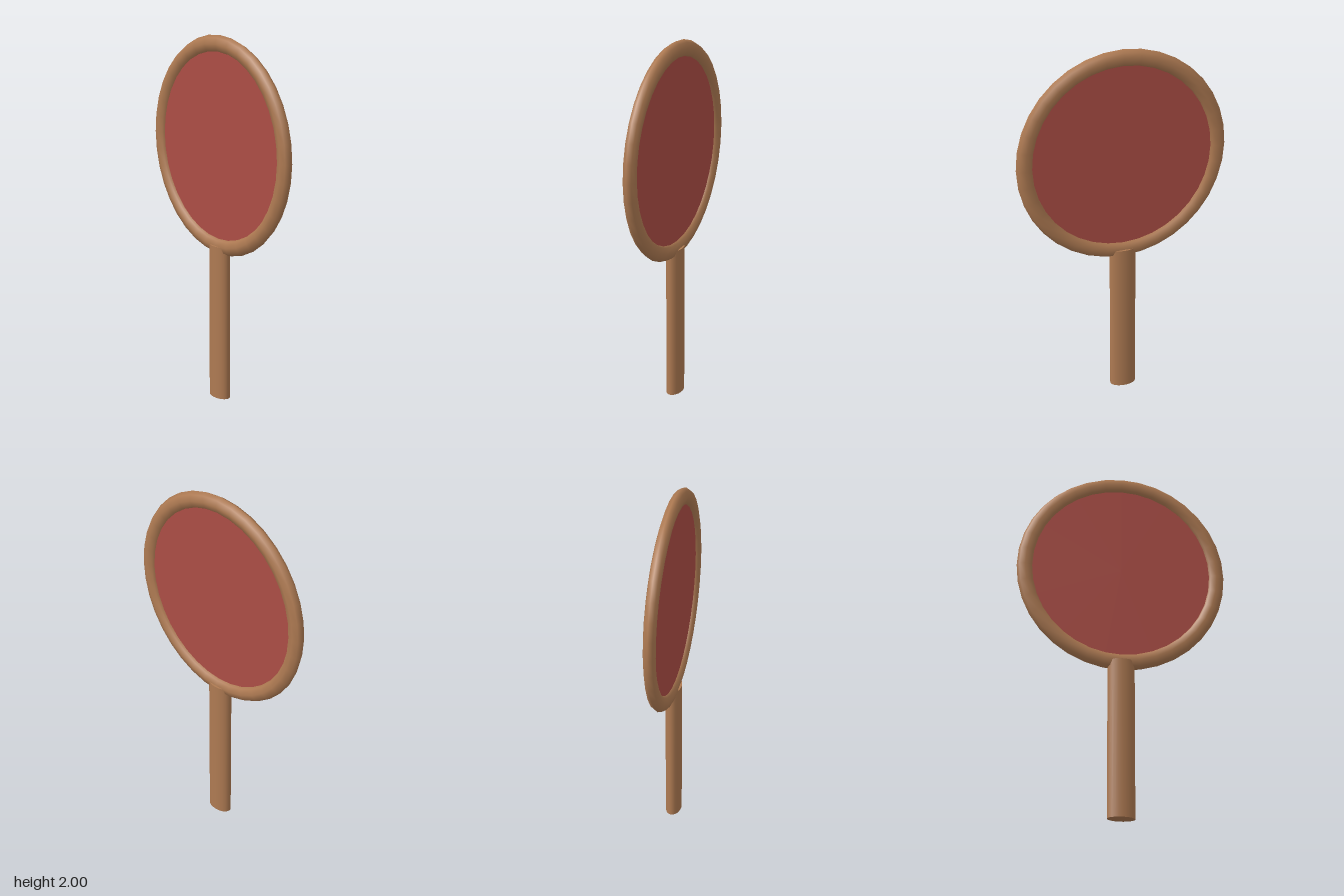
import * as THREE from 'three';

export function createModel() {
  const wood = new THREE.MeshStandardMaterial({ color: 0xae7a52 });
  wood.name = 'wood';
  const red = new THREE.MeshStandardMaterial({ color: 0xac4d45 });
  red.name = 'red face';

  const group = new THREE.Group();
  const add = (name, geometry, material, y) => {
    const mesh = new THREE.Mesh(geometry, material);
    mesh.name = name;
    mesh.position.y = y;
    group.add(mesh);
  };

  const headY = 1.41;

  // Slightly oval, flattened rim around the head
  add('rim', new THREE.TorusGeometry(0.544, 0.046, 8, 36).scale(0.975, 1, 0.71), wood, headY);

  // Thin red panel set inside the rim, coloured on both sides
  const panel = new THREE.CylinderGeometry(0.51, 0.51, 0.02, 36).rotateX(Math.PI / 2);
  add('panel', panel.scale(0.975, 1, 1), red, headY);

  // Oval handle overlapping the bottom of the rim
  const handleHeight = 0.87;
  const handle = new THREE.CylinderGeometry(1, 1, handleHeight, 24);
  add('handle', handle.scale(0.073, 1, 0.044), wood, handleHeight / 2);

  return group;
}
